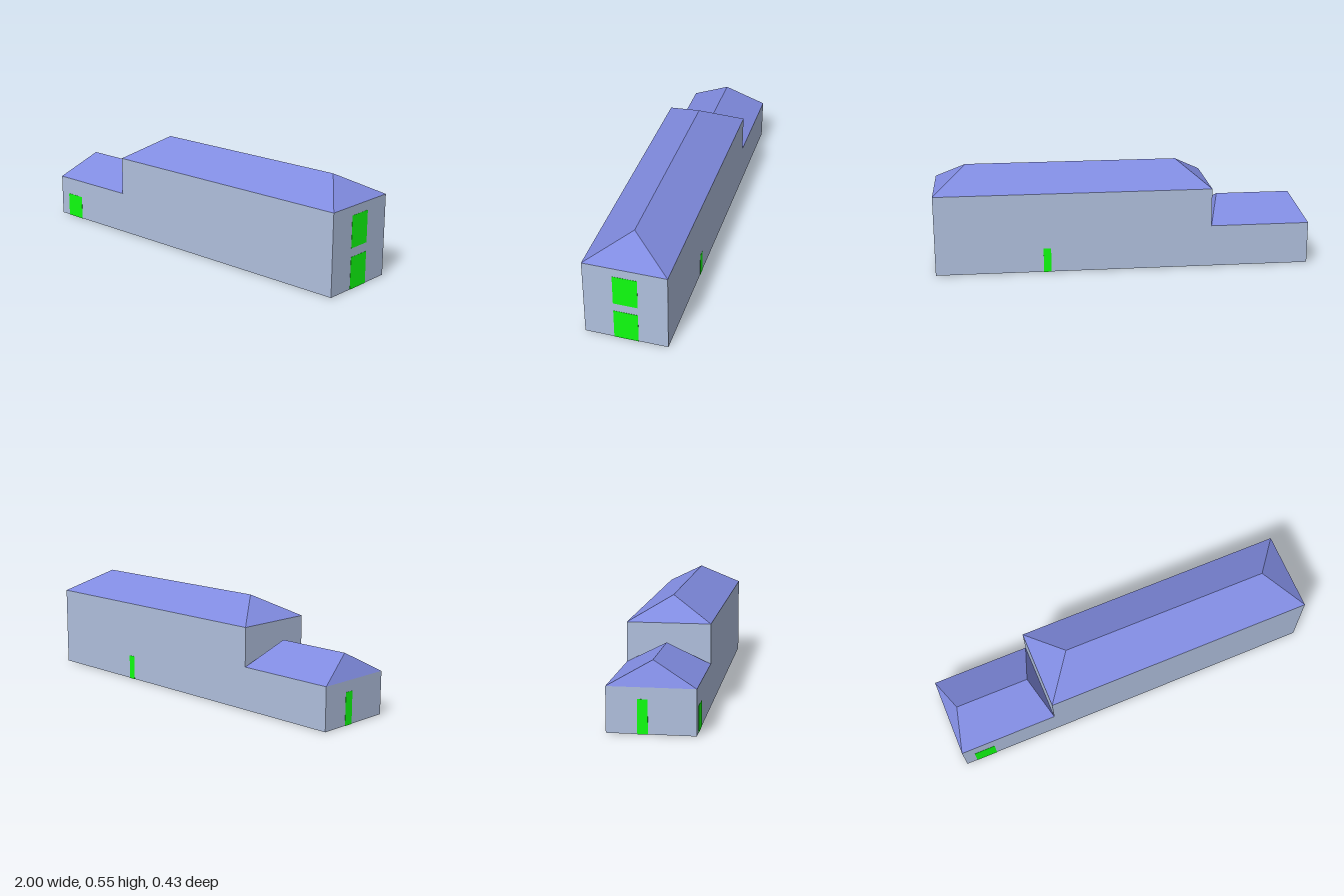
import * as THREE from 'three';

const HALF = 0.215; // half depth of the building
const STEP = -0.47; // where the low wing meets the main hall

const material = (color, side = THREE.FrontSide) =>
  new THREE.MeshStandardMaterial({ color, side, flatShading: true });

// Hipped roof: rectangular eaves x0..x1 rising to a ridge r0..r1
function hipRoof(name, x0, x1, eave, r0, r1, ridge, mat) {
  const corners = [
    [x0, eave, HALF], [x1, eave, HALF], [x1, eave, -HALF], [x0, eave, -HALF],
    [r0, ridge, 0], [r1, ridge, 0],
  ];
  const faces = [0, 1, 5, 0, 5, 4, 2, 3, 4, 2, 4, 5, 1, 2, 5, 3, 0, 4];
  const geometry = new THREE.BufferGeometry();
  geometry.setAttribute('position',
    new THREE.Float32BufferAttribute(faces.flatMap((i) => corners[i]), 3));
  geometry.computeVertexNormals();
  const mesh = new THREE.Mesh(geometry, mat);
  mesh.name = name;
  return mesh;
}

// Panel set into a wall, given by its min and max corners
function panel(name, min, max, mat) {
  const size = max.map((v, i) => v - min[i]);
  const mesh = new THREE.Mesh(new THREE.BoxGeometry(...size), mat);
  mesh.position.set(...max.map((v, i) => (v + min[i]) / 2));
  mesh.name = name;
  return mesh;
}

export function createModel() {
  const group = new THREE.Group();
  group.name = 'building';
  const wallMat = material(0xb0c0de);
  const roofMat = material(0x808be0, THREE.DoubleSide);
  const doorMat = material(0x10ff10);

  // Walls: stepped side outline extruded across the depth
  const outline = new THREE.Shape([
    [-1, 0], [1, 0], [1, 0.43], [STEP, 0.43], [STEP, 0.225], [-1, 0.225],
  ].map(([x, y]) => new THREE.Vector2(x, y)));
  const wallGeometry = new THREE.ExtrudeGeometry(outline, { depth: 2 * HALF, bevelEnabled: false });
  wallGeometry.translate(0, 0, -HALF);
  const walls = new THREE.Mesh(wallGeometry, wallMat);
  walls.name = 'walls';
  group.add(walls);

  // Roofs
  group.add(
    hipRoof('mainRoof', STEP, 1, 0.43, -0.3, 0.83, 0.548, roofMat),
    hipRoof('wingRoof', -1, STEP, 0.225, -0.935, -0.535, 0.343, roofMat),
  );

  // Doors and the upper opening, standing just proud of the walls
  const out = 0.001, deep = 0.015;
  group.add(
    panel('frontDoor', [-0.94, -out, HALF - deep], [-0.825, 0.13, HALF + out], doorMat),
    panel('backDoor', [0.39, -out, -HALF - out], [0.43, 0.13, -HALF + deep], doorMat),
    panel('wingEndDoor', [-1 - out, -out, -0.065], [-1 + deep, 0.168, -0.015], doorMat),
    panel('mainEndDoor', [1 - deep, -out, -0.063], [1 + out, 0.168, 0.063], doorMat),
    panel('upperDoor', [1 - deep, 0.214, -0.063], [1 + out, 0.382, 0.063], doorMat),
  );
  return group;
}
